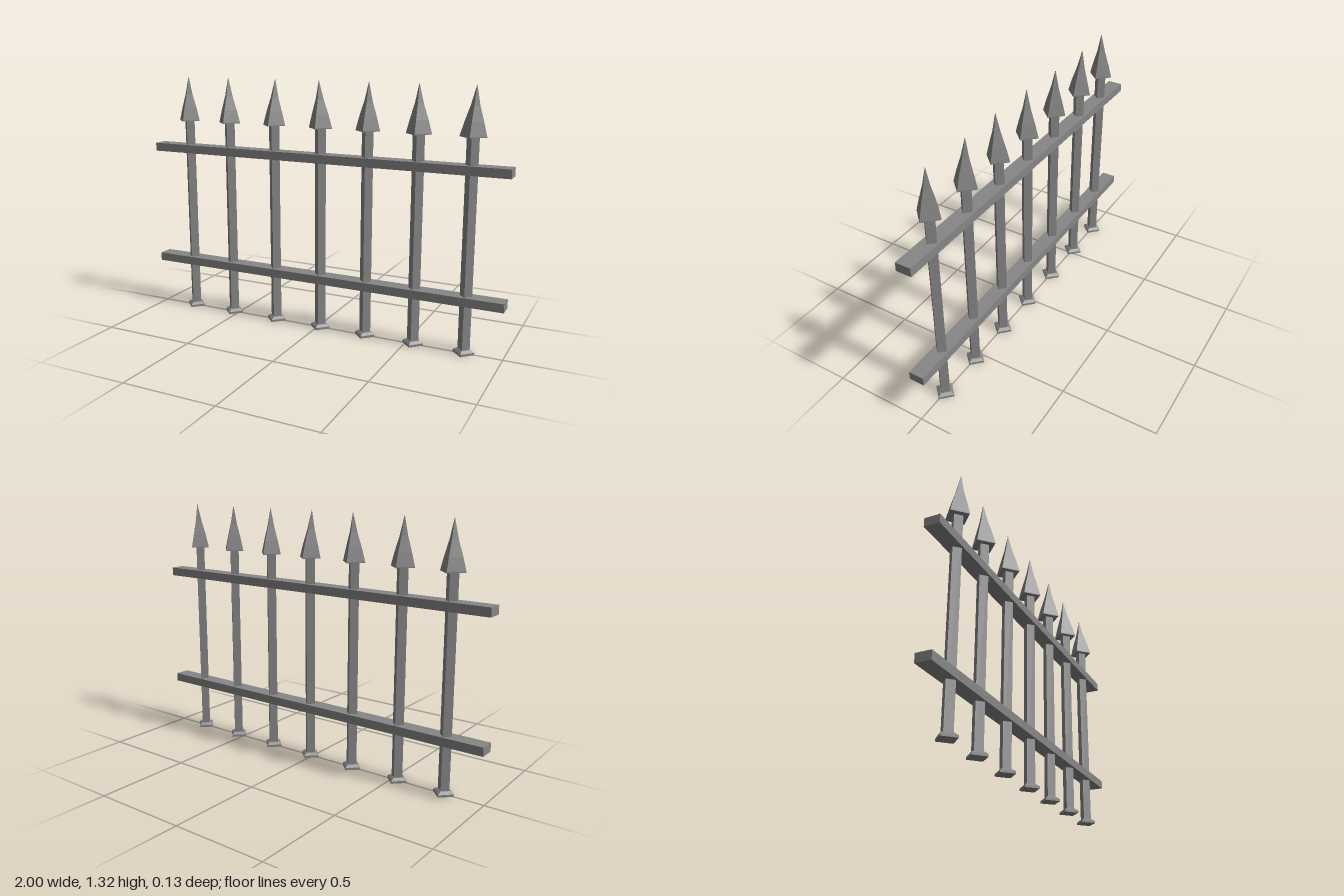
import * as THREE from 'three';

export function createModel() {
  const iron = new THREE.MeshStandardMaterial({ color: 0x868686 });
  const group = new THREE.Group();
  group.name = 'fence';

  const add = (parent, name, geometry) => {
    const mesh = new THREE.Mesh(geometry, iron);
    mesh.name = name;
    parent.add(mesh);
    return mesh;
  };

  // Four-sided diamond solid from rings [halfDiagonal, y, xShift, zShift]
  const diamond = (rings) => {
    const corner = ([r, y, dx = 0, dz = 0], i) => {
      const a = (i % 4) * Math.PI / 2;
      return [dx + r * Math.sin(a), y, dz + r * Math.cos(a)];
    };
    const p = [];
    for (let k = 0; k < rings.length - 1; k++) {
      for (let i = 0; i < 4; i++) {
        const a = corner(rings[k], i), b = corner(rings[k], i + 1);
        const c = corner(rings[k + 1], i + 1), d = corner(rings[k + 1], i);
        p.push(...a, ...b, ...c, ...a, ...c, ...d);
      }
    }
    // End caps
    const cap = (ring, order) => order.forEach((i) => p.push(...corner(ring, i)));
    cap(rings[0], [0, 2, 1, 0, 3, 2]);
    cap(rings[rings.length - 1], [0, 1, 2, 0, 2, 3]);
    const g = new THREE.BufferGeometry();
    g.setAttribute('position', new THREE.Float32BufferAttribute(p, 3));
    g.computeVertexNormals();
    return g;
  };

  const postGeo = diamond([[0.031, 0.01], [0.031, 1.085]]);
  const footGeo = diamond([[0.055, 0], [0.055, 0.012], [0.036, 0.024]]);
  // Slightly bent spear head
  const spearGeo = diamond([
    [0.065, 1.08], [0.065, 1.085], [0.047, 1.15, 0.001, 0.001],
    [0.023, 1.225, 0.003, 0.003], [0.001, 1.32, 0.006, 0.006],
  ]);

  // Pickets, each spear head turned differently
  const xs = [-0.79, -0.53, -0.255, 0.015, 0.275, 0.54, 0.805];
  const turns = [0, 2, 1, 3, 0, 2, 1];
  xs.forEach((x, i) => {
    const picket = new THREE.Group();
    picket.name = 'picket';
    picket.position.x = x;
    add(picket, 'post', postGeo);
    add(picket, 'foot', footGeo);
    add(picket, 'spearHead', spearGeo).rotation.y = turns[i] * Math.PI / 2;
    group.add(picket);
  });

  // Horizontal rails
  for (const [name, y] of [['lowerRail', 0.278], ['upperRail', 0.925]]) {
    add(group, name, new THREE.BoxGeometry(2, 0.045, 0.08)).position.y = y;
  }
  return group;
}
